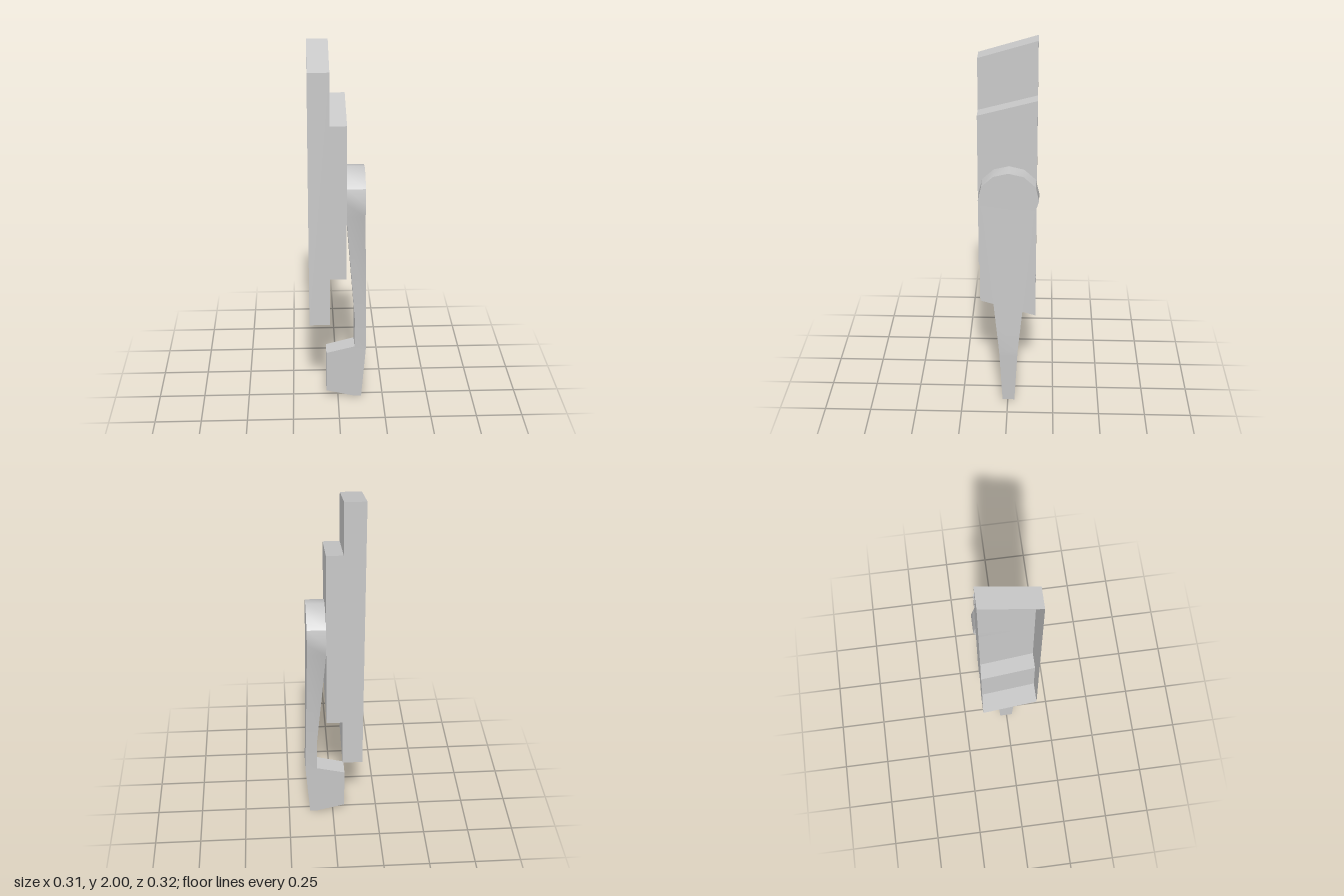
import * as THREE from 'three';
import { toCreasedNormals } from 'three/addons/utils/BufferGeometryUtils.js';

// Geometry from a list of four-cornered faces, corners counter-clockwise
function fromQuads(quads, crease) {
  const positions = [];
  for (const [a, b, c, d] of quads) {
    for (const p of [a, b, c, a, c, d]) positions.push(...p);
  }
  const geometry = new THREE.BufferGeometry();
  geometry.setAttribute('position', new THREE.Float32BufferAttribute(positions, 3));
  return toCreasedNormals(geometry, crease);
}

// Stepped shell with slanted ends, open on its -x side
function backplateGeometry() {
  const zFront = 0.157, zBack = -0.147;
  const x0 = -0.155, x1 = -0.046, x2 = 0.04;
  // x, y at the front, y at the back
  const profile = [
    [x0, 1.91, 2.0], [x1, 1.91, 2.0], [x1, 1.64, 1.72], [x2, 1.64, 1.72],
    [x2, 0.8, 0.715], [x1, 0.8, 0.715], [x1, 0.53, 0.44], [x0, 0.53, 0.44],
  ];
  const front = profile.map(([x, y]) => [x, y, zFront]);
  const back = profile.map(([x, , y]) => [x, y, zBack]);
  const quads = [];
  for (let i = 0; i < profile.length - 1; i++) {
    quads.push([front[i], front[i + 1], back[i + 1], back[i]]);
  }
  // side walls: the tall base and the raised step
  for (const ids of [[7, 6, 1, 0], [5, 4, 3, 2]]) {
    quads.push(ids.map((i) => front[i]));
    quads.push([...ids].reverse().map((i) => back[i]));
  }
  return fromQuads(quads, 0.3);
}

// Lever with a round head, a tapering arm and a hooked tip
function leverGeometry() {
  const zMid = -0.004;
  // y, inner x, outer x, half width in z
  const rows = [
    [1.37, 0.04, 0.138, 0], [1.352, 0.04, 0.138, 0.077],
    [1.297, 0.04, 0.138, 0.138], [1.22, 0.04, 0.138, 0.156],
    [1.14, 0.04, 0.138, 0.131], [0.51, 0.09, 0.15, 0.068],
    [0.33, 0.09, 0.154, 0.05], [0.29, -0.065, 0.151, 0.048],
    [0.04, -0.065, 0.133, 0.035], [0, 0.09, 0.13, 0.033],
  ];
  const rings = rows.map(([y, xIn, xOut, h]) => [
    [xOut, y, zMid + h], [xOut, y, zMid - h], [xIn, y, zMid - h], [xIn, y, zMid + h],
  ]);
  const quads = [];
  for (let i = 0; i < rings.length - 1; i++) {
    for (let j = 0; j < 4; j++) {
      const k = (j + 1) % 4;
      quads.push([rings[i][j], rings[i + 1][j], rings[i + 1][k], rings[i][k]]);
    }
  }
  quads.push([...rings[rings.length - 1]].reverse());
  return fromQuads(quads, 0.6);
}

export function createModel() {
  const metal = new THREE.MeshStandardMaterial({ color: 0xc8c8c8, side: THREE.DoubleSide });
  metal.name = 'light grey metal';

  const group = new THREE.Group();
  group.name = 'leverHandle';
  const parts = { backplate: backplateGeometry(), lever: leverGeometry() };
  for (const [name, geometry] of Object.entries(parts)) {
    const mesh = new THREE.Mesh(geometry, metal);
    mesh.name = name;
    group.add(mesh);
  }
  return group;
}
